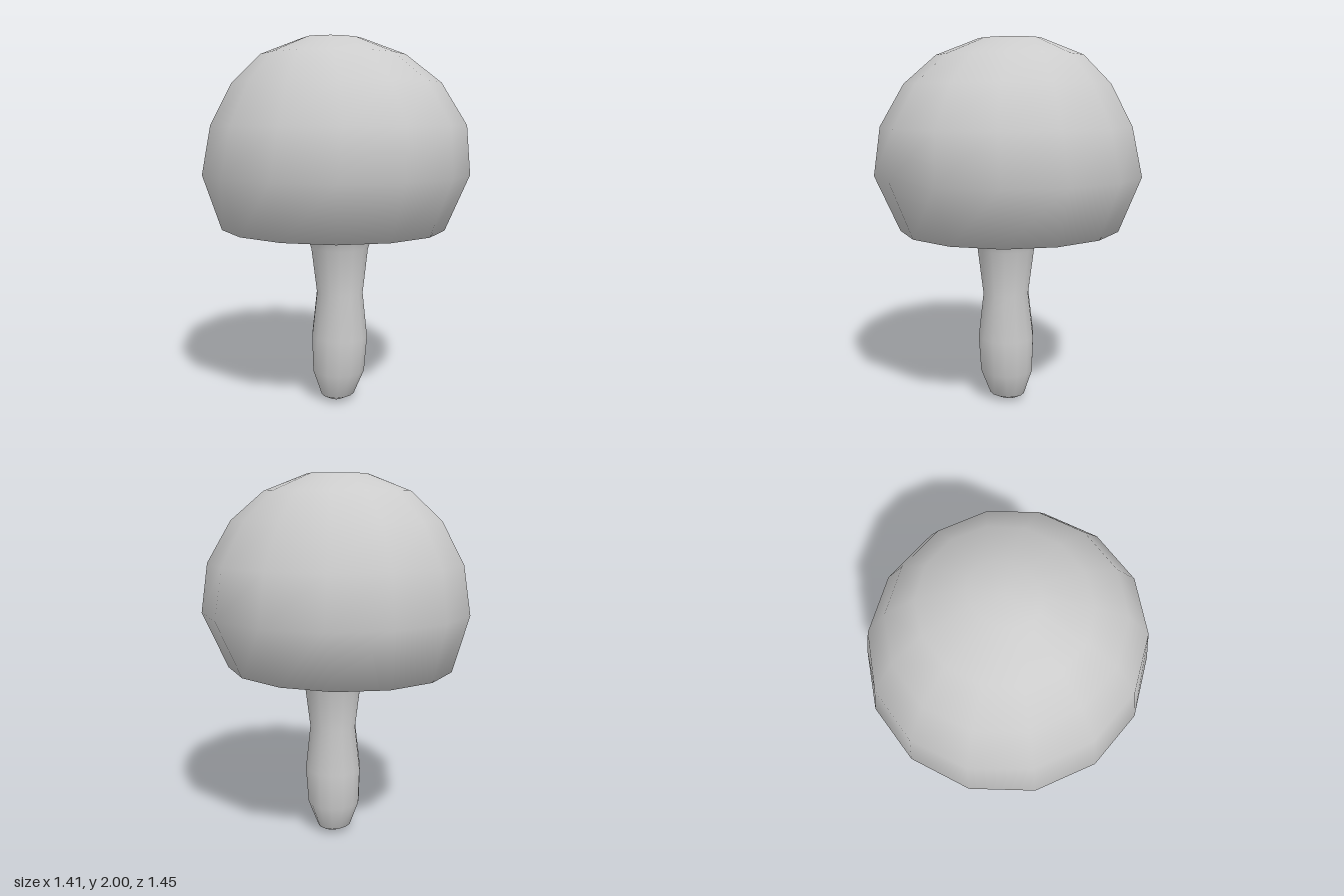
import * as THREE from 'three';

const SIDES = 14;

// Closed smooth skin through elliptical rings [y, rx, rz, centreZ], listed bottom-up on outer faces.
// A ring of zero radius closes the end.
function ringSkin(rings) {
  const positions = [];
  const index = [];
  for (const [y, rx, rz, cz] of rings) {
    for (let i = 0; i < SIDES; i++) {
      const a = (i / SIDES) * Math.PI * 2;
      positions.push(rx * Math.sin(a), y, cz + rz * Math.cos(a));
    }
  }
  for (let r = 0; r < rings.length - 1; r++) {
    for (let i = 0; i < SIDES; i++) {
      const j = (i + 1) % SIDES;
      const a = r * SIDES + i, b = r * SIDES + j;
      const c = a + SIDES, d = b + SIDES;
      if (rings[r][1] > 0) index.push(a, b, d);
      if (rings[r + 1][1] > 0) index.push(a, d, c);
      else if (rings[r][1] > 0) index.splice(-3, 3, a, b, c);
    }
  }
  const geometry = new THREE.BufferGeometry();
  geometry.setAttribute('position', new THREE.Float32BufferAttribute(positions, 3));
  geometry.setIndex(index);
  geometry.computeVertexNormals();
  return geometry;
}

export function createModel() {
  const group = new THREE.Group();
  const material = new THREE.MeshStandardMaterial({ color: 0xcccccc, side: THREE.DoubleSide });

  const addPart = (name, rings) => {
    const mesh = new THREE.Mesh(ringSkin(rings), material);
    mesh.name = name;
    group.add(mesh);
  };

  // Cap: hollow underside, rim, then the dome up to its flat crown
  addPart('cap', [
    [1.25, 0.42, 0.43, 0.0],
    [1.21, 0.53, 0.55, -0.01],
    [0.98, 0.595, 0.625, -0.025],
    [1.28, 0.722, 0.725, 0.0],
    [1.54, 0.667, 0.70, 0.01],
    [1.76, 0.55, 0.57, 0.0],
    [1.91, 0.40, 0.385, -0.015],
    [2.0, 0.175, 0.145, -0.015],
    [2.0, 0, 0, -0.015],
  ]);

  // Stem: rounded foot, slight waist, flaring into the underside of the cap
  addPart('stem', [
    [0, 0, 0, 0.015],
    [0.005, 0.055, 0.04, 0.015],
    [0.03, 0.10, 0.088, 0.015],
    [0.17, 0.147, 0.145, 0.02],
    [0.37, 0.155, 0.158, 0.026],
    [0.62, 0.125, 0.132, 0.027],
    [0.87, 0.158, 0.16, 0.026],
    [0.98, 0.195, 0.20, 0.028],
    [1.14, 0.32, 0.32, 0.015],
    [1.25, 0.42, 0.43, 0.0],
  ]);

  return group;
}
